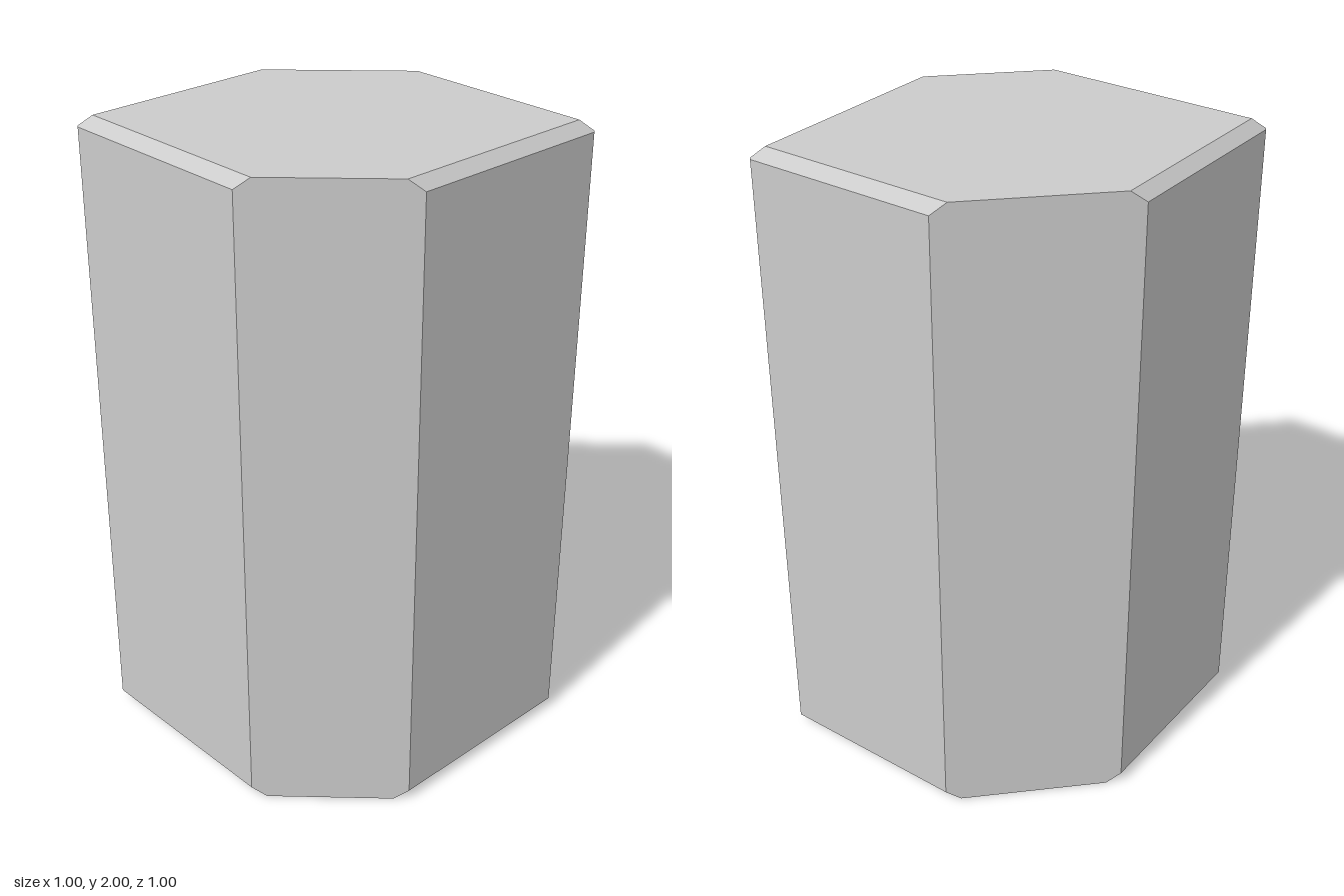
import * as THREE from 'three';

const BEVEL = 0.033;      // slope along the top and bottom edges
const FRONT_CUT = 0.66;   // x + z on the large front left corner cut
const BACK_CUT = 0.61;    // -x - z on the large back right corner cut
const SLIM_CUT = 0.994;   // |x - z| on the two finely broken corners

// Plan outline of the square block, inset by d, running from +x towards +z
function outline(d, y) {
  const h = 0.5 - d;
  const s = Math.min(h, SLIM_CUT - h);
  const f = FRONT_CUT - h;
  const b = BACK_CUT - h;
  return [[h, -s], [h, f], [f, h], [-s, h], [-h, s], [-h, -b], [-b, -h], [s, -h]]
    .map(([x, z]) => new THREE.Vector3(x, y, z));
}

// Loft the outlines from bottom to top and close both ends
function loft(rings) {
  const points = [];
  const tri = (a, b, c) => {
    const area = b.clone().sub(a).cross(c.clone().sub(a)).length();
    if (area > 1e-9) points.push(a, b, c);
  };
  const n = rings[0].length;
  for (let k = 0; k < rings.length - 1; k++) {
    for (let i = 0; i < n; i++) {
      const j = (i + 1) % n;
      tri(rings[k][i], rings[k + 1][i], rings[k + 1][j]);
      tri(rings[k][i], rings[k + 1][j], rings[k][j]);
    }
  }
  const bottom = rings[0], top = rings[rings.length - 1];
  for (let i = 1; i < n - 1; i++) {
    tri(bottom[0], bottom[i], bottom[i + 1]);
    tri(top[0], top[i + 1], top[i]);
  }
  const geometry = new THREE.BufferGeometry().setFromPoints(points);
  geometry.computeVertexNormals();
  return geometry;
}

export function createModel() {
  const group = new THREE.Group();
  group.name = 'bevelledPillar';

  // Insets from the foot up; the 0.003 step is where the slim corners run out
  const insets = [BEVEL, 0.003, 0];
  const lower = insets.map((d) => outline(d, BEVEL - d));
  const upper = [...insets].reverse().map((d) => outline(d, 2 - BEVEL + d));

  const block = new THREE.Mesh(
    loft([...lower, ...upper]),
    new THREE.MeshStandardMaterial({ color: 0xcccccc, flatShading: true })
  );
  block.name = 'pillarBlock';
  group.add(block);
  return group;
}
